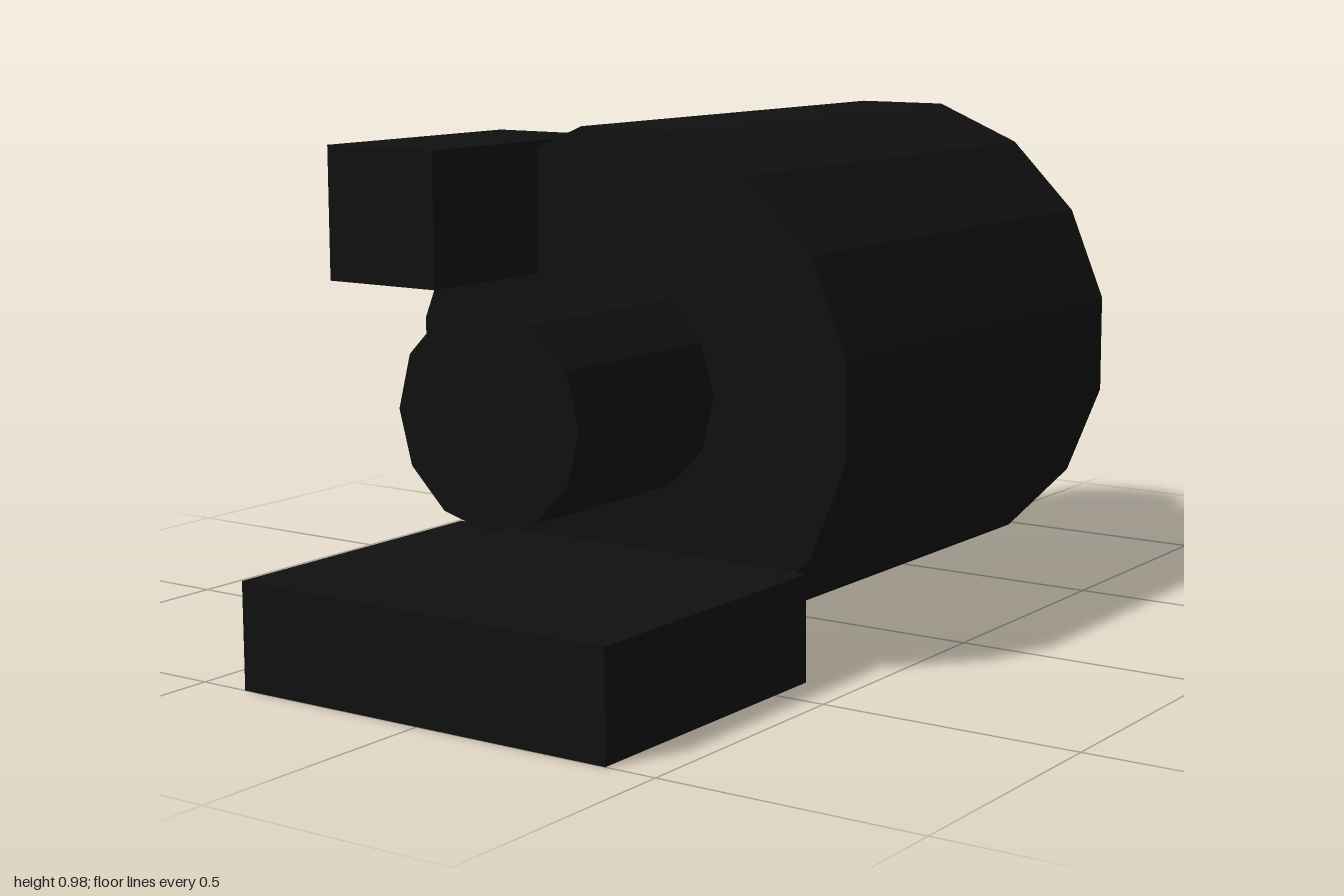
import * as THREE from 'three';

export function createModel() {
  const model = new THREE.Group();
  const black = new THREE.MeshStandardMaterial({ name: 'black', color: 0x101010, flatShading: true });
  const axisY = 0.5;

  function add(name, geometry, x, y, z) {
    const mesh = new THREE.Mesh(geometry, black);
    mesh.name = name;
    mesh.position.set(x, y, z);
    model.add(mesh);
  }

  // Cylinder lying along z between two depths, rolled by a number of facets
  function barrel(name, radius, sides, z0, z1, roll = 0) {
    const g = new THREE.CylinderGeometry(radius, radius, z1 - z0, sides);
    g.rotateY(roll * 2 * Math.PI / sides).rotateX(Math.PI / 2);
    add(name, g, 0, axisY, (z0 + z1) / 2);
  }

  // Box given by its opposite corners
  function block(name, [x0, y0, z0], [x1, y1, z1]) {
    add(name, new THREE.BoxGeometry(x1 - x0, y1 - y0, z1 - z0),
      (x0 + x1) / 2, (y0 + y1) / 2, (z0 + z1) / 2);
  }

  // Main drum and the stepped parts on its axis
  barrel('mainBody', 0.49, 16, -0.6, 0.4, 0.5);
  barrel('frontHub', 0.2, 12, 0.4, 0.8);
  barrel('rearFlange', 0.3, 12, -0.75, -0.6);
  barrel('rearShaft', 0.15, 12, -1, -0.75);

  // Foot plate and upper side box
  block('basePlate', [-0.4, 0, 0.4], [0.4, 0.2, 1]);
  block('sideBox', [-0.45, 0.7, 0.2], [-0.2, 0.95, 0.7]);

  return model;
}
